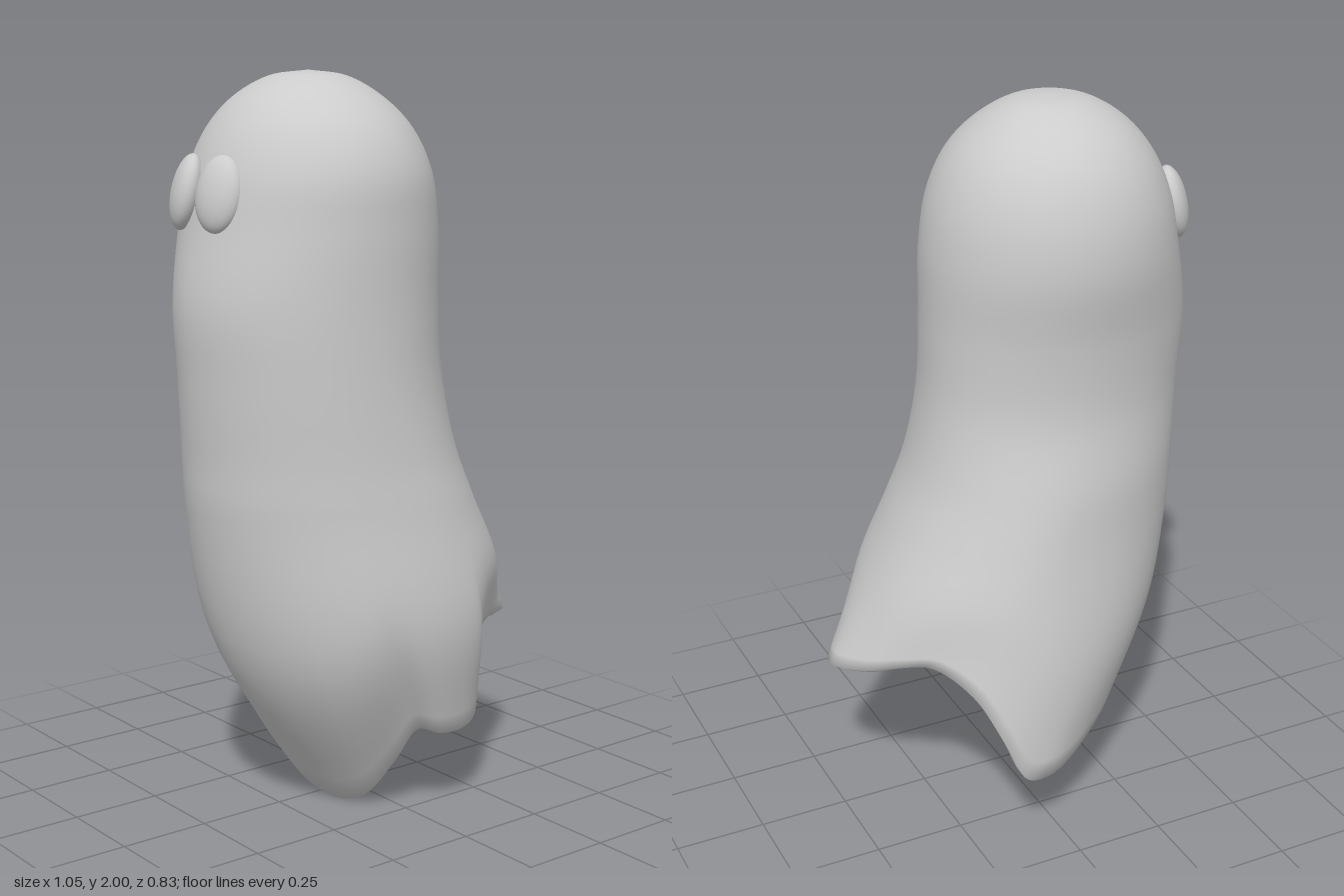
import * as THREE from 'three';
import { mergeVertices } from 'three/addons/utils/BufferGeometryUtils.js';

const V = (x, y, z) => new THREE.Vector3(x, y, z);

// Body cross-sections: y, centre x, min x, max x, min z, max z
const RINGS = [
  [1.985, -0.14, -0.245, -0.04, -0.1, 0.105],
  [1.93, -0.14, -0.34, 0.055, -0.2, 0.205],
  [1.85, -0.14, -0.41, 0.13, -0.27, 0.285],
  [1.74, -0.14, -0.46, 0.18, -0.315, 0.335],
  [1.6, -0.14, -0.49, 0.205, -0.33, 0.345],
  [1.4, -0.14, -0.525, 0.21, -0.305, 0.345],
  [1.2, -0.13, -0.515, 0.22, -0.3, 0.35],
  [1.0, -0.08, -0.5, 0.26, -0.335, 0.365],
  [0.85, -0.03, -0.49, 0.32, -0.355, 0.385],
];
const WAIST = RINGS[RINGS.length - 1];
// Cross-section the skirt spreads towards
const SKIRT = [0.42, 0.05, -0.4, 0.53, -0.42, 0.43];

// Wavy hem, from the front tip round by +z to the tail and back by -z
const HEM = [
  [-0.1, 0, 0.08], [-0.07, 0.03, 0.16], [-0.035, 0.15, 0.25], [-0.01, 0.25, 0.315],
  [0.04, 0.235, 0.345], [0.13, 0.235, 0.345], [0.19, 0.26, 0.32], [0.22, 0.39, 0.29],
  [0.27, 0.475, 0.255], [0.38, 0.48, 0.19], [0.49, 0.455, 0.1], [0.52, 0.46, 0.02],
  [0.47, 0.49, -0.1], [0.4, 0.525, -0.185], [0.33, 0.545, -0.26], [0.25, 0.48, -0.345],
  [0.18, 0.34, -0.4], [0.12, 0.22, -0.415], [0.05, 0.21, -0.41], [-0.02, 0.225, -0.385],
  [-0.1, 0.26, -0.345], [-0.18, 0.3, -0.295], [-0.23, 0.3, -0.23], [-0.23, 0.23, -0.15],
  [-0.19, 0.12, -0.07], [-0.14, 0.03, 0],
].map((p) => V(...p));

const TOP = V(-0.14, 2, 0);
const CAVITY = V(0, 0.68, 0);

// Point on an oval cross-section in the direction with cosine c and sine s
const onRing = ([y, cx, x0, x1, z0, z1], c, s) =>
  V(cx + c * (c > 0 ? x1 - cx : cx - x0), y, s * (s > 0 ? z1 : -z0));

// One strip of the sheet: crown, down the outside, round the hem, up into the cavity
function column(hem) {
  const inward = V(0.12 - hem.x, 0, -hem.z).normalize();
  const c = -inward.x, s = -inward.z;
  const body = RINGS.map((ring) => onRing(ring, c, s));
  const t = (WAIST[0] - hem.y) / 2 / (WAIST[0] - SKIRT[0]);
  const skirt = onRing(WAIST.map((v, k) => THREE.MathUtils.lerp(v, SKIRT[k], t)), c, s);
  const outside = new THREE.CatmullRomCurve3([TOP, ...body, skirt, hem]);

  // Blunt lip square to the cloth, then the hollow underside
  const lip = hem.clone().addScaledVector(inward, 0.035);
  lip.y -= 0.02 * c;
  const mid = skirt.clone().lerp(hem, 0.35).lerp(CAVITY, 0.13);
  const inside = new THREE.CatmullRomCurve3([lip, mid, CAVITY]);
  return [...outside.getPoints(66), ...inside.getPoints(20)];
}

function sheetGeometry() {
  const columns = 156;
  const hemCurve = new THREE.CatmullRomCurve3(HEM, true);
  const strips = Array.from({ length: columns }, (_, j) => column(hemCurve.getPoint(j / columns)));
  const rows = strips[0].length;
  const index = [];
  for (let j = 0; j < columns; j++) {
    const a = j * rows, b = ((j + 1) % columns) * rows;
    for (let i = 0; i < rows - 1; i++) {
      // Single triangles at the crown and at the cavity pole
      if (i > 0) index.push(a + i, a + i + 1, b + i);
      if (i < rows - 2) index.push(a + i + 1, b + i + 1, b + i);
    }
  }
  const geometry = new THREE.BufferGeometry().setFromPoints(strips.flat());
  geometry.setIndex(index);
  const merged = mergeVertices(geometry, 1e-5);
  merged.computeVertexNormals();
  return merged;
}

export function createModel() {
  const group = new THREE.Group();
  group.name = 'ghost';
  const material = new THREE.MeshStandardMaterial({ color: 0xcccccc, side: THREE.DoubleSide });

  const sheet = new THREE.Mesh(sheetGeometry(), material);
  sheet.name = 'sheetBody';
  group.add(sheet);

  // Flattened oval eyes lying on the face
  const eyeGeometry = new THREE.SphereGeometry(1, 32, 24);
  for (const [name, z] of [['rightEye', -0.09], ['leftEye', 0.06]]) {
    const eye = new THREE.Mesh(eyeGeometry, material);
    eye.name = name;
    eye.scale.set(0.04, 0.1, 0.07);
    eye.position.set(-0.465, 1.69, z);
    eye.rotation.set(0, z * 5, -0.22, 'YZX');
    group.add(eye);
  }
  return group;
}
